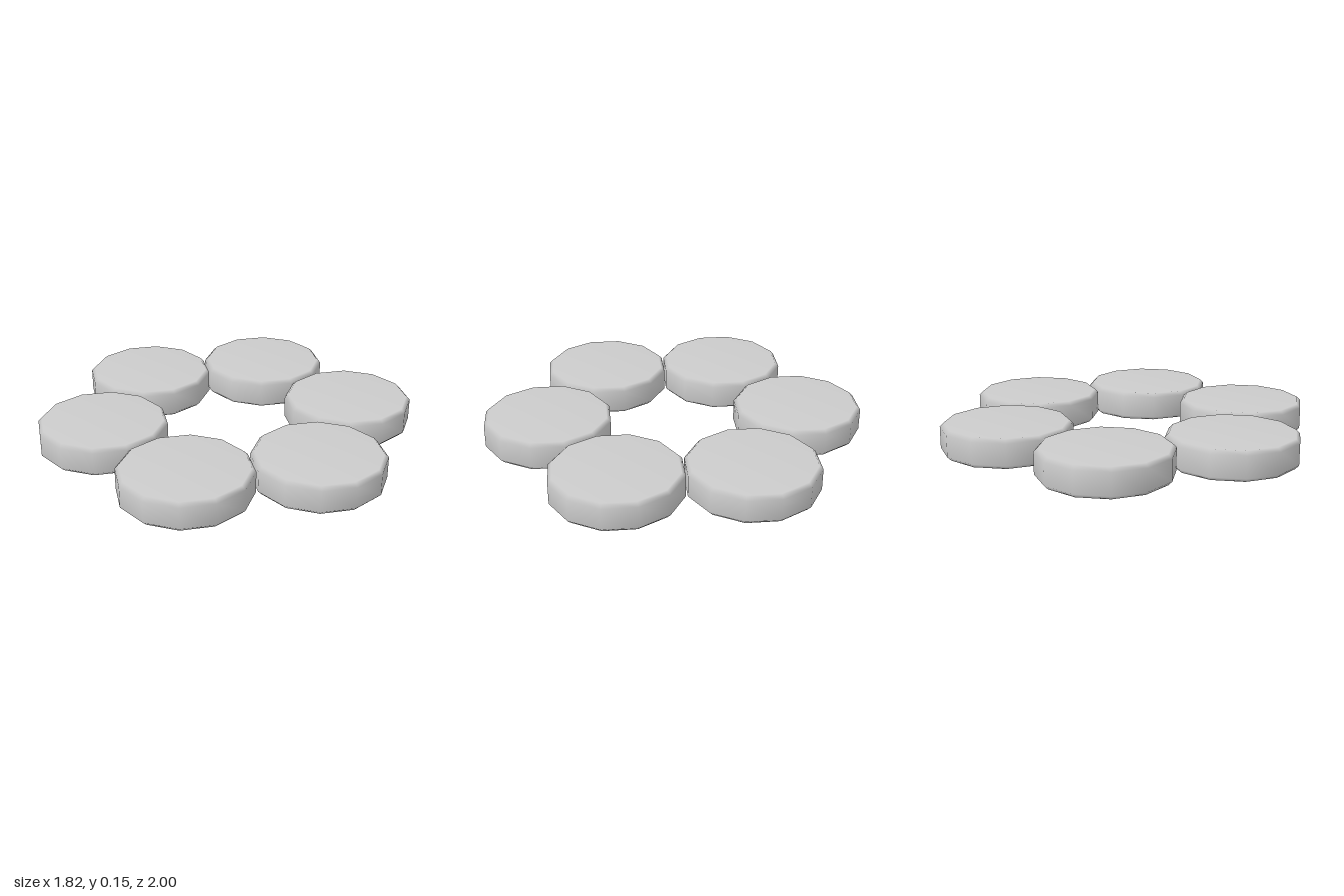
import * as THREE from 'three';

const SIDES = 12;
const APOTHEM = 0.33;          // centre to flat side
const HEIGHT = 0.153;
const BEVEL = 0.02;
const RING_RADIUS = 0.67;      // centre of the ring to centre of a disc

// Twelve-sided disc with bevelled rims and smooth shading, flats facing x and z
function discGeometry() {
  const r = APOTHEM / Math.cos(Math.PI / SIDES);
  const profile = [
    [0, 0],
    [r - BEVEL, 0],
    [r, BEVEL],
    [r, HEIGHT - BEVEL],
    [r - BEVEL, HEIGHT],
    [0, HEIGHT],
  ].map(([x, y]) => new THREE.Vector2(x, y));
  return new THREE.LatheGeometry(profile, SIDES, Math.PI / SIDES);
}

export function createModel() {
  const group = new THREE.Group();
  group.name = 'discRing';
  const material = new THREE.MeshStandardMaterial({ color: 0xcccccc });
  const geometry = discGeometry();

  // Six discs around an open centre, all in the same orientation
  for (let i = 0; i < 6; i++) {
    const angle = (i * Math.PI) / 3;
    const disc = new THREE.Mesh(geometry, material);
    disc.name = `disc${i + 1}`;
    disc.position.set(Math.sin(angle) * RING_RADIUS, 0, Math.cos(angle) * RING_RADIUS);
    group.add(disc);
  }
  return group;
}
